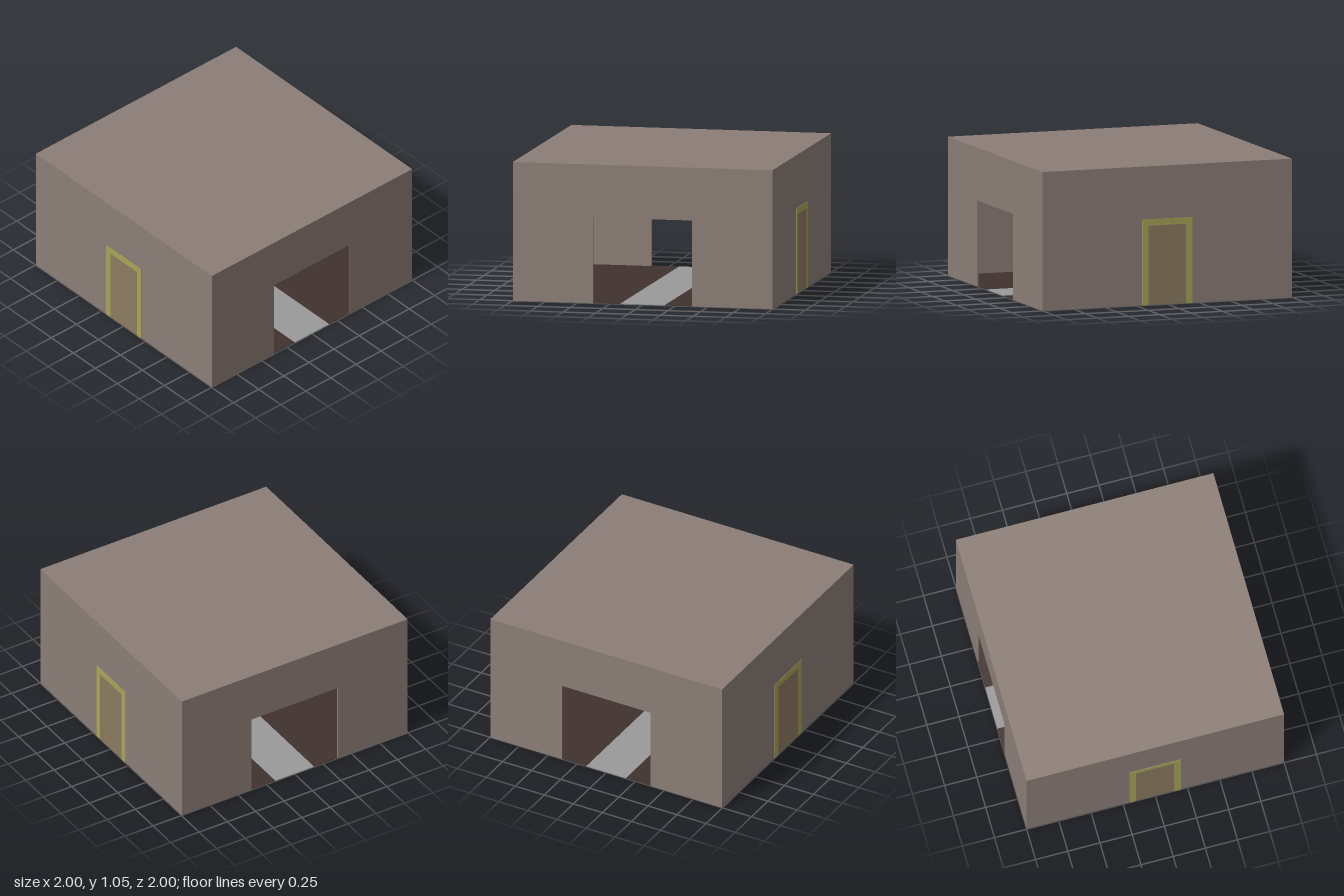
import * as THREE from 'three';

const H = 1.05, T = 0.01, FACE = 0.997; // height, wall thickness, outer wall face
const mat = (color) => new THREE.MeshStandardMaterial({ color, roughness: 0.9, flatShading: true });

export function createModel() {
  const group = new THREE.Group();
  const wallMat = mat(0x8c7e77), floorMat = mat(0x40322e), roadMat = mat(0x9a9a9a);
  const frameMat = mat(0xaaa458), doorMat = mat(0x8c7a60);

  const add = (name, geometry, material, x = 0, y = 0, z = 0, parent = group) => {
    const mesh = new THREE.Mesh(geometry, material);
    mesh.name = name;
    mesh.position.set(x, y, z);
    parent.add(mesh);
    return mesh;
  };

  // Closed slabs
  add('roof', new THREE.BoxGeometry(2, T, 2 * FACE), wallMat, 0, H - T / 2, 0);
  add('floor', new THREE.BoxGeometry(1.99, 0.003, 1.98), floorMat, 0, 0.0015, 0);
  add('road', new THREE.BoxGeometry(2, 0.005, 0.34), roadMat, 0, 0.003, 0);

  // Side wall outline with the gateway notch
  const outline = new THREE.Shape([
    [-FACE, 0], [-0.38, 0], [-0.38, 0.65], [0.38, 0.65], [0.38, 0], [FACE, 0], [FACE, H - T], [-FACE, H - T],
  ].map(([z, y]) => new THREE.Vector2(z, y)));
  const sideGeo = new THREE.ExtrudeGeometry(outline, { depth: T, bevelEnabled: false });
  sideGeo.rotateY(Math.PI / 2);
  add('leftWall', sideGeo, wallMat, 1 - T);
  add('rightWall', sideGeo, wallMat, -1);

  // Door frame outline
  const frame = new THREE.Shape([
    [-0.2, 0], [-0.15, 0], [-0.15, 0.6], [0.15, 0.6], [0.15, 0], [0.2, 0], [0.2, 0.65], [-0.2, 0.65],
  ].map(([x, y]) => new THREE.Vector2(x, y)));
  const frameGeo = new THREE.ExtrudeGeometry(frame, { depth: 1 - FACE, bevelEnabled: false });

  // Front and back walls, each with a framed door
  for (const [name, turn] of [['front', 0], ['back', Math.PI]]) {
    const side = new THREE.Group();
    side.name = name + 'Side';
    side.rotation.y = turn;
    add(name + 'Wall', new THREE.BoxGeometry(2 - 2 * T, H - T, T), wallMat, 0, (H - T) / 2, FACE - T / 2, side);
    add(name + 'DoorFrame', frameGeo, frameMat, 0, 0, FACE, side);
    add(name + 'Door', new THREE.BoxGeometry(0.3, 0.6, 0.0015), doorMat, 0, 0.3, FACE + 0.00075, side);
    group.add(side);
  }
  return group;
}
